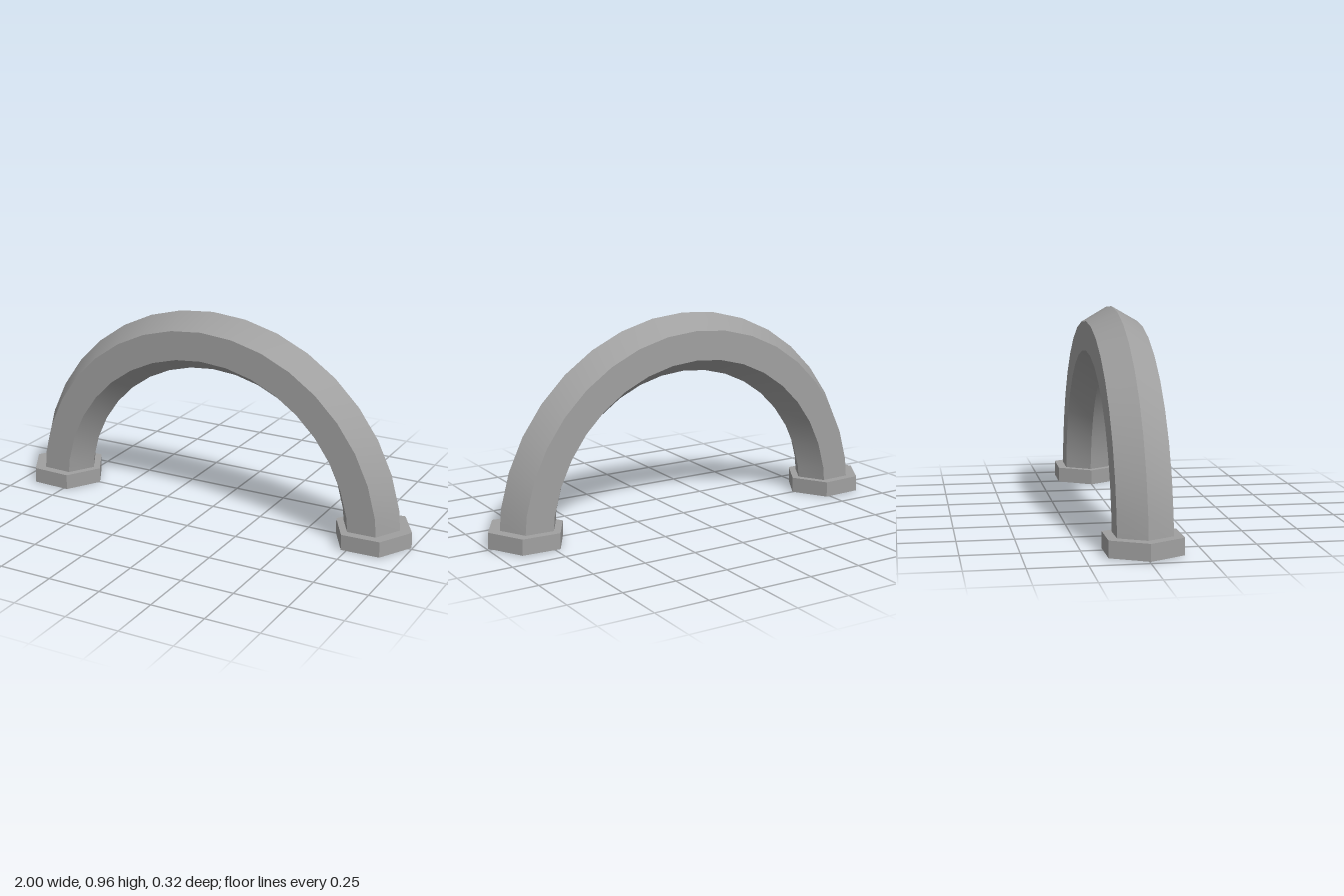
import * as THREE from 'three';
import { toCreasedNormals } from 'three/addons/utils/BufferGeometryUtils.js';

export function createModel() {
  const model = new THREE.Group();
  model.name = 'archHandle';
  const grey = new THREE.MeshStandardMaterial({ color: 0xa0a0a0 });
  grey.name = 'grey';

  // Half ring with a hexagonal section: smooth along the arch, sharp at the six ridges
  const archGeometry = toCreasedNormals(
    new THREE.TorusGeometry(0.812, 0.136, 6, 18, Math.PI), Math.PI / 6);
  const arch = new THREE.Mesh(archGeometry, grey);
  arch.name = 'arch';
  arch.position.y = 0.01;
  model.add(arch);

  // Hexagonal feet, corners pointing along x, tilted slightly outwards
  const footGeometry = toCreasedNormals(
    new THREE.CylinderGeometry(0.182, 0.182, 0.073, 6).rotateY(Math.PI / 2), Math.PI / 6);
  for (const side of [-1, 1]) {
    const foot = new THREE.Mesh(footGeometry, grey);
    foot.name = side > 0 ? 'leftFoot' : 'rightFoot';
    foot.position.set(side * 0.8175, 0.04, 0);
    foot.rotation.z = side * 0.019;
    model.add(foot);
  }
  return model;
}
